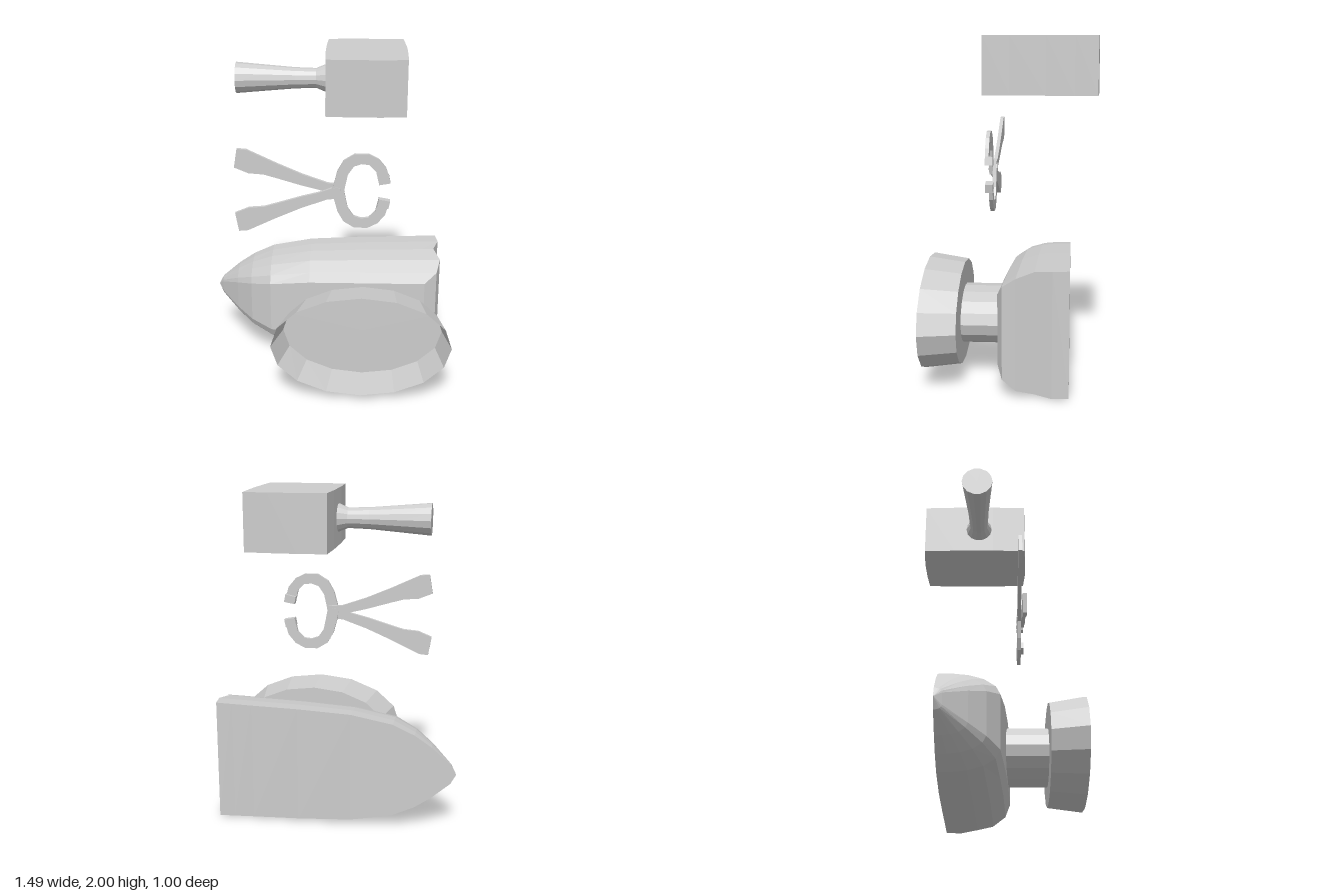
import * as THREE from 'three';

const steel = new THREE.MeshStandardMaterial({ color: 0xcccccc, flatShading: true, side: THREE.DoubleSide });
steel.name = 'grey steel';

function part(name, geometry) {
  const mesh = new THREE.Mesh(geometry, steel);
  mesh.name = name;
  return mesh;
}

function extrude(points, depth) {
  const shape = new THREE.Shape(points.map(([x, y]) => new THREE.Vector2(x, y)));
  return new THREE.ExtrudeGeometry(shape, { depth, bevelEnabled: false });
}

// Hammer: slightly bulging block with a flared handle
function makeHammer() {
  const hammer = new THREE.Group();
  hammer.name = 'hammer';
  const head = extrude([
    [-0.01, -0.155], [0.14, -0.162], [0.3, -0.165], [0.455, -0.155],
    [0.462, 0.0], [0.466, 0.2], [0.462, 0.36], [0.457, 0.49],
    [0.32, 0.498], [0.16, 0.5], [-0.01, 0.49], [-0.017, 0.3], [-0.018, 0.05],
  ], 0.33);
  head.rotateX(-Math.PI / 2).translate(0, 1.67, 0);
  const profile = [[0, -0.555], [0.093, -0.555], [0.078, -0.38], [0.063, -0.2], [0.059, -0.075], [0.085, -0.012]];
  const handle = new THREE.LatheGeometry(profile.map(([r, y]) => new THREE.Vector2(r, y)), 14);
  handle.rotateZ(-Math.PI / 2).translate(0, 1.83, -0.14);
  hammer.add(part('hammerHead', head), part('hammerHandle', handle));
  return hammer;
}

// Tongs: two mirrored flat arms crossing at a rivet
function makeTongs() {
  const tongs = new THREE.Group();
  tongs.name = 'tongs';
  const outline = [
    [-0.555, 1.07], [-0.535, 0.955], [-0.48, 0.96], [-0.385, 1.005], [-0.3, 1.045], [-0.15, 1.11], [0, 1.163],
    [0.09, 1.17], [0.105, 1.25], [0.12, 1.32], [0.155, 1.37], [0.2, 1.385], [0.245, 1.38], [0.285, 1.34], [0.305, 1.255],
    [0.372, 1.267], [0.345, 1.36], [0.3, 1.415], [0.24, 1.445], [0.16, 1.445], [0.095, 1.405], [0.058, 1.34],
    [0.03, 1.235], [-0.05, 1.205], [-0.15, 1.18], [-0.3, 1.135], [-0.38, 1.112], [-0.47, 1.105],
  ];
  const tip = [[0.305, 1.255], [0.372, 1.267], [0.362, 1.315], [0.296, 1.3]];
  for (const side of [1, -1]) {
    const flip = ([x, y]) => [x, 1.21 + side * (y - 1.21)];
    const arm = extrude(outline.map(flip), 0.022).translate(0, 0, side > 0 ? 0.127 : 0.105);
    const pad = extrude(tip.map(flip), 0.045).translate(0, 0, 0.104);
    tongs.add(part('tongArm', arm), part('tongTip', pad));
  }
  const rivet = new THREE.CylinderGeometry(0.03, 0.03, 0.053, 8);
  rivet.rotateX(Math.PI / 2).translate(0.052, 1.21, 0.127);
  tongs.add(part('tongRivet', rivet));
  return tongs;
}

// Anvil body: half-round sections lofted along x, horn at -x, notched heel at +x
function makeAnvilBody() {
  const stations = [ // x, half height, depth
    [-0.745, 0.004, 0.004], [-0.715, 0.06, 0.045], [-0.6, 0.16, 0.175], [-0.5, 0.228, 0.27], [-0.37, 0.288, 0.345],
    [-0.12, 0.335, 0.37], [0.2, 0.352, 0.39], [0.48, 0.36, 0.4], [0.6, 0.364, 0.405], [0.7, 0.367, 0.405],
  ];
  const section = [[0, 1], [0.235, 0.995], [0.48, 0.965], [0.73, 0.88], [0.925, 0.73], [1, 0.56]];
  const heel = [0.695, 0.705, 0.67, 0.705, 0.68, 0.605];
  const n = section.length, ringSize = n * 2;
  const positions = [], index = [];
  stations.forEach(([x, h, d], s) => {
    for (let i = 0; i < ringSize; i++) {
      const k = i < n ? i : ringSize - 1 - i;
      const [t, w] = section[k];
      const px = s === stations.length - 1 ? heel[k] : x;
      positions.push(px, 0.367 + (i < n ? 1 : -1) * w * h, -0.345 + t * d);
    }
  });
  for (let s = 0; s < stations.length - 1; s++) {
    for (let i = 0; i < ringSize; i++) {
      const a = s * ringSize + i, b = s * ringSize + (i + 1) % ringSize;
      index.push(a, b, a + ringSize, b, b + ringSize, a + ringSize);
    }
  }
  // heel end, one strip per depth level
  const last = (stations.length - 1) * ringSize;
  for (let k = 0; k < n - 1; k++) {
    const a = last + k, b = a + 1, c = last + ringSize - 1 - k, d = c - 1;
    index.push(a, b, c, b, d, c);
  }
  const geometry = new THREE.BufferGeometry();
  geometry.setAttribute('position', new THREE.Float32BufferAttribute(positions, 3));
  geometry.setIndex(index);
  geometry.computeVertexNormals();
  return geometry;
}

function makeAnvil() {
  const anvil = new THREE.Group();
  anvil.name = 'anvil';
  const sides = 16;
  const neck = new THREE.CylinderGeometry(1, 1, 0.283, sides, 1, true);
  neck.rotateX(Math.PI / 2).scale(0.26, 0.168, 1).translate(0.225, 0.348, 0.1425);

  // Foot: open flared cup, floor against the neck
  const positions = [], index = [];
  for (let i = 0; i < sides; i++) {
    const a = (i / sides) * Math.PI * 2, c = Math.cos(a), s = Math.sin(a);
    positions.push(0.217 + 0.485 * c, 0.36 + 0.296 * s, 0.285);
    positions.push(0.206 + 0.536 * c, 0.36 + 0.325 * s, 0.5);
    const p = i * 2, q = ((i + 1) % sides) * 2;
    index.push(p, q, q + 1, p, q + 1, p + 1);
    index.push(sides * 2, p, q);
  }
  positions.push(0.217, 0.36, 0.285);
  const foot = new THREE.BufferGeometry();
  foot.setAttribute('position', new THREE.Float32BufferAttribute(positions, 3));
  foot.setIndex(index);
  foot.computeVertexNormals();

  anvil.add(part('anvilBody', makeAnvilBody()), part('anvilNeck', neck), part('anvilFoot', foot));
  return anvil;
}

export function createModel() {
  const model = new THREE.Group();
  model.name = 'blacksmithTools';
  model.add(makeHammer(), makeTongs(), makeAnvil());
  return model;
}
